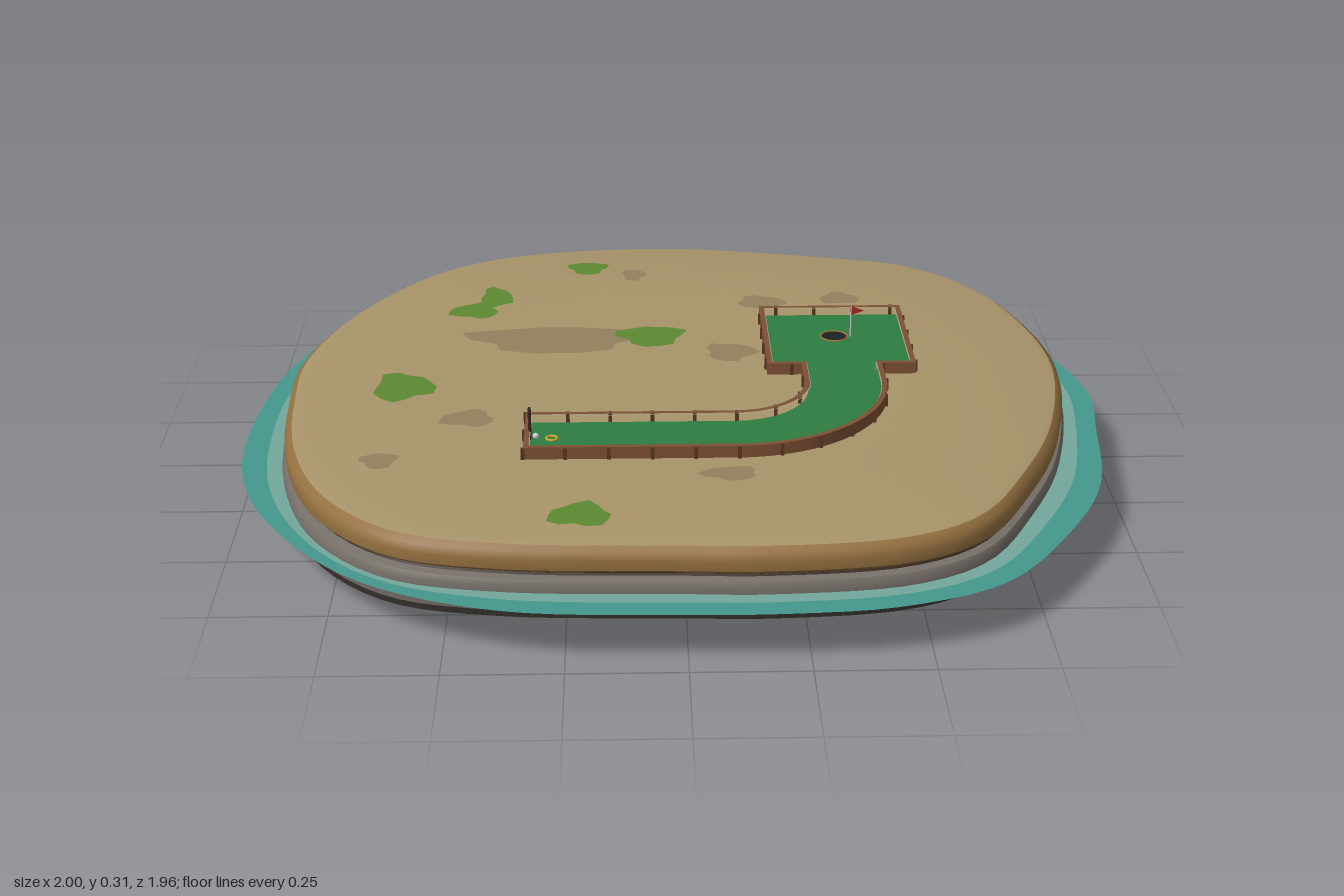
import * as THREE from 'three';
import { toCreasedNormals } from 'three/addons/utils/BufferGeometryUtils.js';

const SEGMENTS = 120;
const TOP = 0.222;

// Shore outlines as x, z pairs, counter-clockwise seen from above
const LAND = [0, -.895, -.395, -.85, -.6, -.735, -.795, -.45, -.897, -.13, -.9, .11, -.865, .405, -.77, .645,
  -.61, .805, -.395, .865, 0, .885, .165, .89, .46, .855, .62, .76, .75, .54, .845, .3, .905, -.05,
  .875, -.315, .78, -.58, .62, -.75, .405, -.82];
const WATER = [0, -.98, -.34, -.945, -.555, -.86, -.8, -.635, -.94, -.34, -.995, 0, -.985, .3, -.9, .54,
  -.69, .81, -.4, .95, 0, .98, .2, .98, .43, .955, .65, .86, .83, .62, .93, .4, .975, .1, .995, -.1,
  .94, -.34, .83, -.58, .62, -.82, .34, -.93];

function outline(flat) {
  const points = [];
  for (let i = 0; i < flat.length; i += 2) points.push(new THREE.Vector3(flat[i], 0, flat[i + 1]));
  return new THREE.CatmullRomCurve3(points, true, 'centripetal').getSpacedPoints(SEGMENTS);
}

const atHeight = (points, scale, y) => points.map((p) => new THREE.Vector3(p.x * scale, y, p.z * scale));

// Skin through closed rings of equal length
function loft(rings) {
  const positions = [];
  const index = [];
  const n = rings[0].length;
  rings.forEach((ring) => ring.forEach((p) => positions.push(p.x, p.y, p.z)));
  for (let i = 0; i < rings.length - 1; i++) {
    for (let j = 0; j < n - 1; j++) {
      const a = i * n + j;
      index.push(a, a + 1, a + n + 1, a, a + n + 1, a + n);
    }
  }
  const geometry = new THREE.BufferGeometry();
  geometry.setAttribute('position', new THREE.Float32BufferAttribute(positions, 3));
  geometry.setIndex(index);
  return toCreasedNormals(geometry, 0.7);
}

// Outline of the bent course, inset by d; shape y is -z
function courseShape(d) {
  const s = new THREE.Shape();
  s.moveTo(-.347 + d, -.27 - d);
  s.lineTo(.12, -.27 - d);
  s.absarc(.12, -.1, .17 + d, -Math.PI / 2, 0, false);
  s.lineTo(.29 + d, d);
  s.lineTo(.21 + d, d);
  s.lineTo(.21 + d, .37 - d);
  s.lineTo(.56 - d, .37 - d);
  s.lineTo(.56 - d, d);
  s.lineTo(.48 - d, d);
  s.lineTo(.48 - d, -.1);
  s.absarc(.12, -.1, .36 - d, 0, -Math.PI / 2, true);
  s.lineTo(-.347 + d, -.46 + d);
  s.closePath();
  return s;
}

// Upright wall between two insets of the course outline
function courseWall(outer, inner, height) {
  const shape = courseShape(outer);
  shape.holes.push(courseShape(inner));
  return new THREE.ExtrudeGeometry(shape, { depth: height, bevelEnabled: false, curveSegments: 20 }).rotateX(-Math.PI / 2);
}

// Flat blob with an uneven edge
function blob(rx, rz, seed) {
  const points = [];
  for (let i = 0; i < 14; i++) {
    const a = (i / 14) * Math.PI * 2;
    const r = 1 + 0.16 * Math.sin(3 * a + seed) + 0.1 * Math.sin(5 * a + seed * 2);
    points.push(new THREE.Vector2(Math.cos(a) * rx * r, Math.sin(a) * rz * r));
  }
  return new THREE.ShapeGeometry(new THREE.Shape(points)).rotateX(-Math.PI / 2);
}

export function createModel() {
  const model = new THREE.Group();
  const add = (name, geometry, color, x = 0, y = 0, z = 0, parent = model) => {
    const mesh = new THREE.Mesh(geometry, new THREE.MeshStandardMaterial({ color }));
    mesh.name = name;
    mesh.position.set(x, y, z);
    parent.add(mesh);
    return mesh;
  };

  const land = outline(LAND);
  const water = outline(WATER);
  const rings = (profile) => loft(profile.map(([scale, y]) => atHeight(land, scale, y)));

  // Island layers, from the underside up
  add('underside', rings([[0, 0], [.5, .03], [.985, .053], [1, .06], [1.003, .075]]), 0x38332f);
  add('rockWall', rings([[1.003, .075], [1.008, .11], [1.01, .135], [1.003, .147], [.985, .151]]), 0x77706a);
  add('groove', rings([[.985, .151], [.982, .156], [.99, .16]]), 0x3a2a1e);
  add('soilWall', rings([[.99, .16], [1, .168], [1.002, .19], [.996, .208], [.982, .218]]), 0x94703f);
  add('sandTop', rings([[.982, .218], [.965, TOP], [.6, TOP], [0, TOP]]), 0xa8946a);

  // Water ring with a paler band by the shore
  const blend = (t) => land.map((p, i) => p.clone().lerp(water[i], t).setY(.12));
  const bands = [['water', 1, .45, 0x45988e], ['shallows', .45, -.15, 0x74a79d]];
  for (const [name, outer, inner, color] of bands) {
    add(name, loft([blend(outer), blend(inner)]), color).material.side = THREE.DoubleSide;
  }

  // Grass and worn soil patches: x, z, radius x, radius z
  const grass = [[-.22, -.72, .05, .045], [-.45, -.51, .04, .07], [-.5, -.42, .06, .05], [-.06, -.245, .08, .065],
    [-.64, .06, .07, .08], [-.22, .735, .065, .055]];
  const worn = [[-.29, -.23, .21, .085], [.13, -.14, .06, .055], [.22, -.47, .06, .04], [.42, -.49, .05, .04],
    [-.48, .24, .06, .045], [.1, .54, .06, .035], [-.66, .46, .04, .04], [-.1, -.67, .03, .04]];
  worn.forEach(([x, z, rx, rz], i) => add('wornPatch', blob(rx, rz, i), 0x93815f, x, TOP + .001, z));
  grass.forEach(([x, z, rx, rz], i) => add('grassPatch', blob(rx, rz, i * 2), 0x5c8a30, x, TOP + .002, z));

  // Course: turf floor, timber border and pale inner lining
  const course = new THREE.Group();
  course.name = 'course';
  model.add(course);
  const floorY = TOP + .006;
  add('turf', new THREE.ShapeGeometry(courseShape(.008), 20).rotateX(-Math.PI / 2), 0x2f7d42, 0, floorY, 0, course);
  add('border', courseWall(0, .012, .028), 0x7d5034, 0, TOP, 0, course);
  add('borderLining', courseWall(.012, .014, .025), 0xa89f94, 0, TOP, 0, course);

  // Small posts around the outside of the border
  const postGeometry = new THREE.BoxGeometry(.008, .027, .008);
  courseShape(-.001).getSpacedPoints(36).slice(0, 36).forEach((p) =>
    add('borderPost', postGeometry, 0x5a3620, p.x, TOP + .0135, -p.y, course));

  // Hole with its rim
  const hole = new THREE.CircleGeometry(.031, 24).rotateX(-Math.PI / 2);
  add('hole', hole, 0x1a2226, .385, floorY + .001, -.22, course);
  const rim = new THREE.TorusGeometry(.032, .002, 6, 28).rotateX(Math.PI / 2);
  add('holeRim', rim, 0xb07a2c, .385, floorY + .001, -.22, course);

  // Flag
  add('flagPole', new THREE.CylinderGeometry(.0018, .0018, .08, 8), 0xcccccc, .425, floorY + .04, -.22, course);
  const pennant = new THREE.Shape([[0, .012], [.032, 0], [0, -.012]].map(([x, y]) => new THREE.Vector2(x, y)));
  add('flag', new THREE.ShapeGeometry(pennant), 0xa52a24, .425, .295, -.22, course).material.side = THREE.DoubleSide;

  // Tee marker and post
  const teeRing = new THREE.TorusGeometry(.012, .003, 6, 20).rotateX(Math.PI / 2);
  add('teeRing', teeRing, 0xc9a82e, -.287, floorY + .001, .365, course);
  add('teePost', new THREE.CylinderGeometry(.0035, .0035, .076, 8), 0x3b2a20, -.335, floorY + .038, .367, course);
  add('ball', new THREE.SphereGeometry(.007, 12, 8), 0xcccccc, -.322, floorY + .007, .365, course);

  return model;
}
